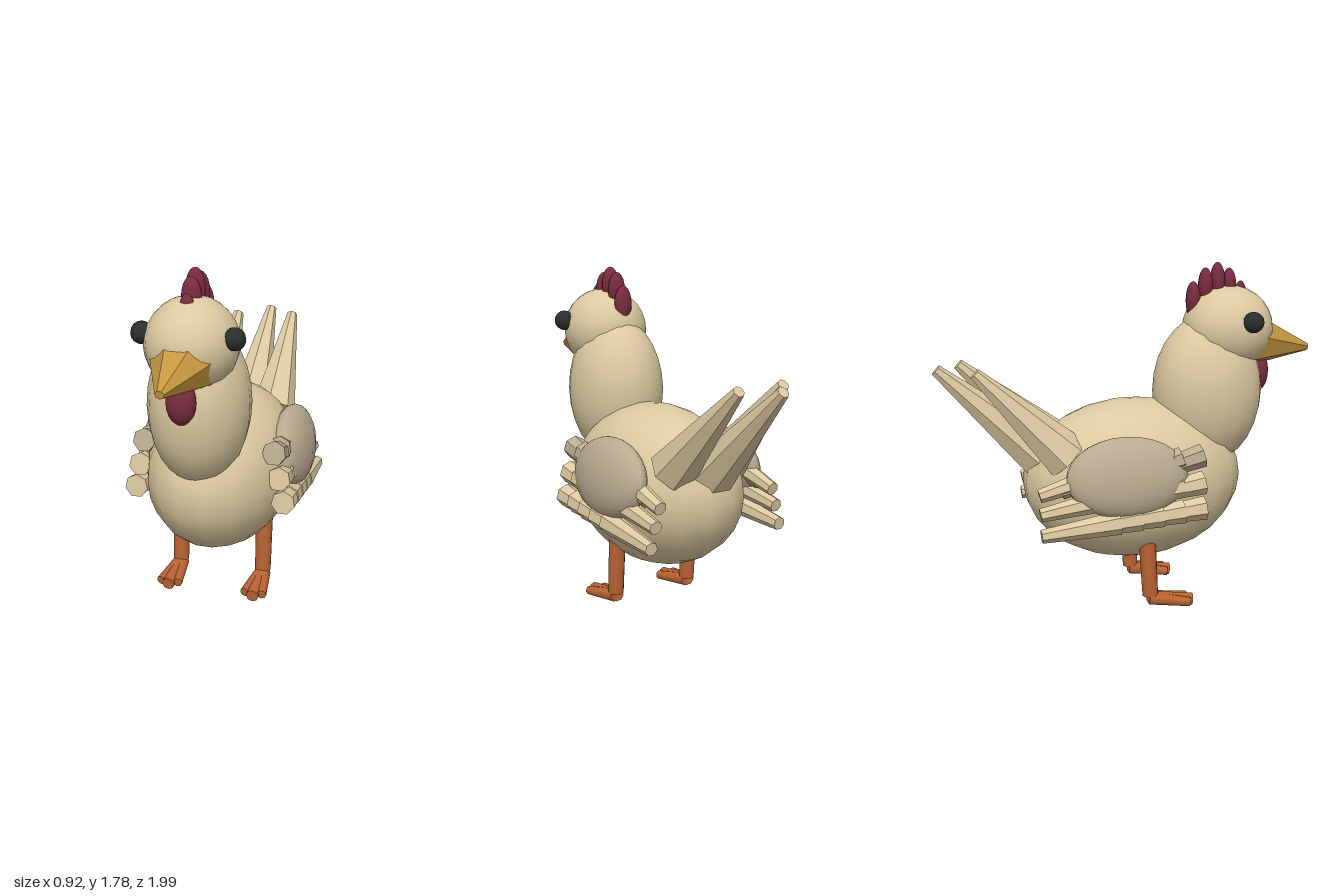
import * as THREE from 'three';

const material = (name, color) => {
  const m = new THREE.MeshStandardMaterial({ color });
  m.name = name;
  return m;
};

export function createModel() {
  const cream = material('cream plumage', 0xdcc9a0);
  const tan = material('wing tan', 0xbbab90);
  const gold = material('beak gold', 0xc4963f);
  const red = material('comb red', 0x7a2c3e);
  const orange = material('leg orange', 0xbb6433);
  const black = material('eye black', 0x2b2f30);

  const model = new THREE.Group();
  model.name = 'hen';

  const add = (parent, name, geometry, mat) => {
    const mesh = new THREE.Mesh(geometry, mat);
    mesh.name = name;
    parent.add(mesh);
    return mesh;
  };

  // Smooth ellipsoid from centre and radii
  const blob = (parent, name, mat, centre, radii, w = 18, h = 14) => {
    const mesh = add(parent, name, new THREE.SphereGeometry(1, w, h), mat);
    mesh.position.set(...centre);
    mesh.scale.set(...radii);
    return mesh;
  };

  // Tapered rod between two points, faceted unless smooth
  const rod = (parent, name, mat, from, to, rFrom, rTo, sides = 7, smooth = false) => {
    const a = new THREE.Vector3(...from), b = new THREE.Vector3(...to);
    const dir = b.clone().sub(a);
    let geometry = new THREE.CylinderGeometry(rTo, rFrom, dir.length(), sides);
    if (!smooth) {
      geometry = geometry.toNonIndexed();
      geometry.computeVertexNormals();
    }
    const mesh = add(parent, name, geometry, mat);
    mesh.position.copy(a).add(b).multiplyScalar(0.5);
    mesh.quaternion.setFromUnitVectors(new THREE.Vector3(0, 1, 0), dir.normalize());
    return mesh;
  };

  // Torso, neck and head
  blob(model, 'body', cream, [0, 0.665, 0.035], [0.38, 0.425, 0.585]);
  blob(model, 'neck', cream, [0, 1.12, 0.443], [0.25, 0.4, 0.293]);
  blob(model, 'head', cream, [0, 1.443, 0.55], [0.225, 0.225, 0.242]);

  // Beak and wattle
  const beak = rod(model, 'beak', gold, [0, 1.38, 0.68], [0, 1.33, 1], 0.147, 0.02);
  beak.scale.x = 1.13;
  blob(model, 'wattle', red, [0, 1.21, 0.72], [0.073, 0.11, 0.06], 14, 10);

  // Comb lobes from front to back
  [[1.69, 0.617], [1.757, 0.553], [1.787, 0.49], [1.76, 0.425], [1.69, 0.36]].forEach(([top, z], i) =>
    blob(model, 'combLobe', red, [0, top - 0.1, z], [i ? 0.05 : 0.042, 0.1, i ? 0.038 : 0.034], 12, 10));

  // Tail feathers
  rod(model, 'tailFeather', cream, [0, 0.78, -0.42], [0, 1.275, -0.97], 0.13, 0.03);
  rod(model, 'tailFeather', cream, [-0.165, 0.83, -0.34], [-0.155, 1.275, -0.79], 0.125, 0.03);
  rod(model, 'tailFeather', cream, [0.165, 0.83, -0.36], [0.155, 1.275, -0.85], 0.125, 0.03);

  for (const s of [-1, 1]) {
    const side = s < 0 ? 'right' : 'left';
    blob(model, side + 'Eye', black, [s * 0.222, 1.495, 0.615], [0.054, 0.054, 0.054], 10, 8);

    // Wing with three rows of overlapping feathers
    const wing = new THREE.Group();
    wing.name = side + 'Wing';
    model.add(wing);
    const pad = blob(wing, 'wingPad', tan, [s * 0.355, 0.76, -0.07], [0.098, 0.203, 0.312]);
    pad.rotation.z = s * 0.18;
    const rows = [
      { x: 0.34, y: 0.85, end: 0.69, step: 0.11, mat: tan },
      { x: 0.365, y: 0.715, end: 0.6, step: 0.11, mat: cream },
      { x: 0.39, y: 0.59, end: 0.5, step: 0.11, mat: cream },
    ];
    for (const { x, y, end, step, mat } of rows) {
      for (let i = 0; i < 5; i++) {
        const z = 0.32 - step * i;
        const startY = y - i * 0.012;
        const drop = (y - 0.048 - end);
        rod(wing, 'wingFeather', i < 4 ? mat : cream,
          [s * x, startY, z], [s * (x + 0.005), startY - drop, z - 0.39], 0.062, 0.035);
      }
    }

    // Leg and three toes
    const leg = new THREE.Group();
    leg.name = side + 'Leg';
    model.add(leg);
    const lx = s * 0.232;
    rod(leg, 'shank', orange, [lx, 0.08, 0.08], [lx, 0.42, 0.06], 0.042, 0.046, 10, true);
    for (const t of [-1, 0, 1]) {
      rod(leg, 'toe', orange, [lx + t * 0.005, 0.065, 0.075],
        [lx + t * 0.047, t ? 0.04 : 0.036, t ? 0.285 : 0.305], 0.036, t ? 0.024 : 0.034, 8, true);
    }
  }
  return model;
}
